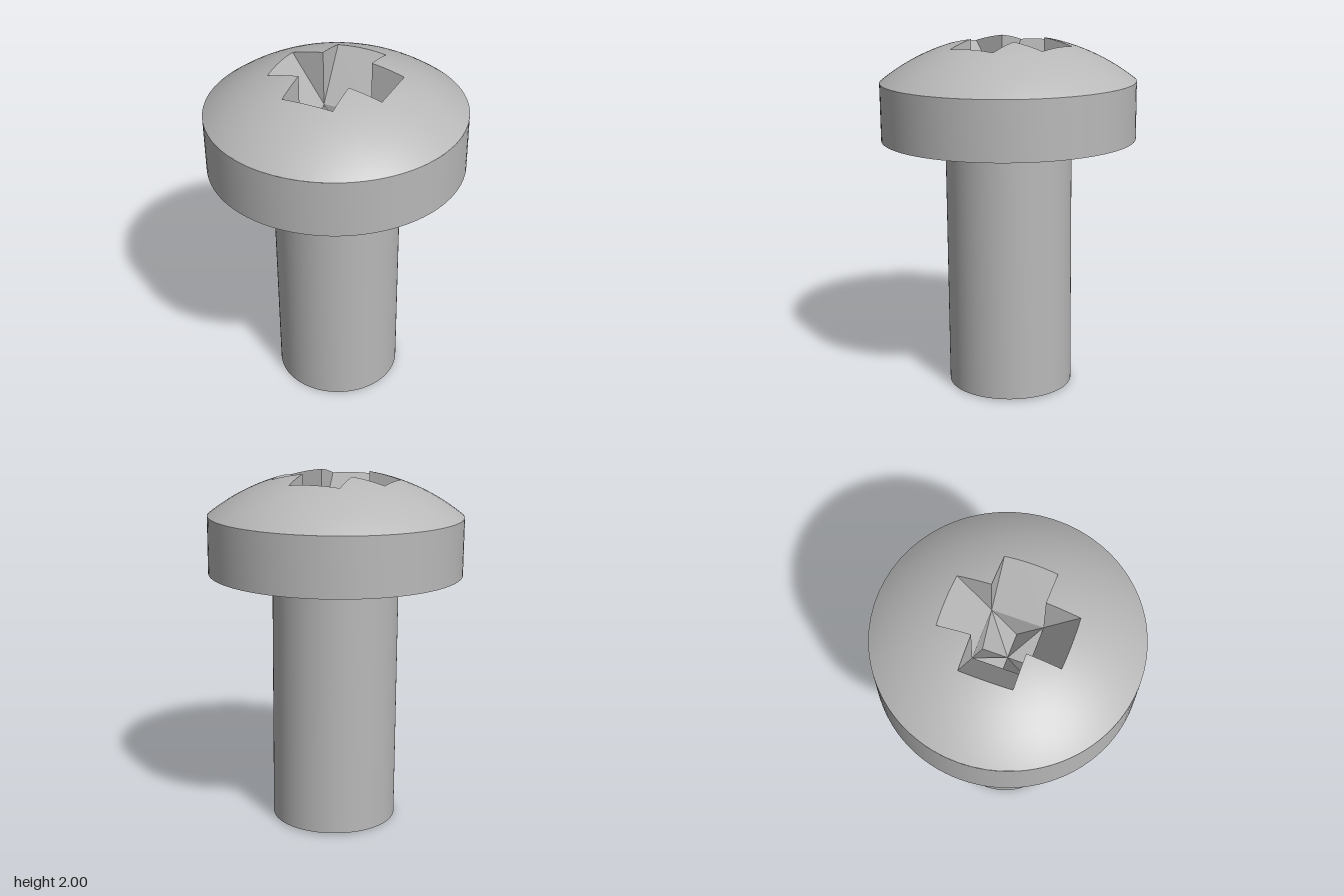
import * as THREE from 'three';
import { toCreasedNormals } from 'three/addons/utils/BufferGeometryUtils.js';

const HEAD_R = 0.715, SHANK_R = 0.356, UNDER = 1.44, RIM = 1.763, APEX = 2.013;
const SAG = APEX - RIM;
const BALL = (HEAD_R * HEAD_R + SAG * SAG) / (2 * SAG); // dome sphere radius
const W = 0.144, END = 0.33, SLOPE = 1.5;               // slot half width, length, floor slope
const domeY = (r) => APEX - BALL + Math.sqrt(BALL * BALL - r * r);
const PIT = domeY(Math.hypot(W, END)) - SLOPE * END;    // lowest point of the recess
const END_ANGLE = Math.atan2(W, END);

// Distance from the axis to the recess outline, for an angle measured from an arm
function outline(a) {
  if (Math.abs(a) > END_ANGLE + 1e-6) return W / Math.abs(Math.sin(a));
  let d = END;
  for (let i = 0; i < 30; i++) d = (domeY(d) - PIT) / (SLOPE * Math.cos(a));
  return d;
}

// Angles across one arm, with the corners hit exactly
function armAngles() {
  const stops = [-Math.PI / 4, -END_ANGLE, END_ANGLE, Math.PI / 4];
  const list = [];
  for (let s = 0; s < 3; s++)
    for (let i = 0; i < 8; i++) list.push(THREE.MathUtils.lerp(stops[s], stops[s + 1], i / 8));
  return list;
}

// Spherical dome stretched between the cross outline and the rim
function domeGeometry() {
  const pos = [], nor = [], index = [], RINGS = 14;
  const rays = [];
  for (let k = 0; k < 4; k++)
    for (const a of armAngles()) rays.push([a + k * Math.PI / 2, outline(a)]);
  const n = rays.length;
  for (let j = 0; j <= RINGS; j++) {
    for (const [a, inner] of rays) {
      const r = THREE.MathUtils.lerp(inner, HEAD_R, j / RINGS);
      const x = r * Math.cos(a), z = -r * Math.sin(a), y = domeY(r);
      pos.push(x, y, z);
      nor.push(x / BALL, (y - APEX + BALL) / BALL, z / BALL);
    }
  }
  for (let j = 0; j < RINGS; j++) {
    for (let i = 0; i < n; i++) {
      const a = j * n + i, b = j * n + (i + 1) % n;
      index.push(a, a + n, b + n, a, b + n, b);
    }
  }
  const g = new THREE.BufferGeometry();
  g.setAttribute('position', new THREE.Float32BufferAttribute(pos, 3));
  g.setAttribute('normal', new THREE.Float32BufferAttribute(nor, 3));
  g.setIndex(index);
  return g;
}

// One arm of the recess: sloping floor, two upright walls and the pit facets
function armGeometry() {
  const pos = [], V = (x, y, z) => new THREE.Vector3(x, y, z);
  const axis = V(0, 2, 0);
  const tri = (a, b, c) => {
    const n = b.clone().sub(a).cross(c.clone().sub(a));
    const order = n.dot(axis.clone().sub(a)) >= 0 ? [a, b, c] : [a, c, b];
    for (const p of order) pos.push(p.x, p.y, p.z);
  };
  const fan = (hub, pts) => { for (let i = 0; i + 1 < pts.length; i++) tri(hub, pts[i], pts[i + 1]); };
  const lip = armAngles().concat(Math.PI / 4).map((a) => {
    const d = outline(a);
    return V(d * Math.cos(a), domeY(d), -d * Math.sin(a));
  });
  const high = PIT + SLOPE * W;
  const left = V(W, high, W), right = V(W, high, -W);
  const mid = V(W, PIT, 0), pit = V(0, PIT, 0);
  fan(left, lip.slice(0, 9));                 // walls
  fan(right, lip.slice(16, 25));
  fan(left, [...lip.slice(8, 17), right]);    // floor
  tri(left, mid, right);                      // step at the pit
  tri(left, mid, pit);                        // pit facets
  tri(right, mid, pit);
  const g = new THREE.BufferGeometry();
  g.setAttribute('position', new THREE.Float32BufferAttribute(pos, 3));
  g.computeVertexNormals();
  return g;
}

export function createModel() {
  const model = new THREE.Group();
  model.name = 'screw';
  const steel = new THREE.MeshStandardMaterial({ name: 'steel grey', color: 0xb8b8b8 });
  const add = (name, geometry, parent) => {
    const mesh = new THREE.Mesh(geometry, steel);
    mesh.name = name;
    parent.add(mesh);
    return mesh;
  };

  // The whole screw leans very slightly
  const body = new THREE.Group();
  body.name = 'body';
  body.position.set(0.0175, 0.005, 0);
  body.rotation.z = 0.0135;
  model.add(body);

  // Plain shank
  const shank = add('shank', new THREE.CylinderGeometry(SHANK_R, SHANK_R, UNDER, 96, 1), body);
  shank.position.y = UNDER / 2;

  // Head: flat underside and straight side
  const profile = [[SHANK_R - 0.01, UNDER], [HEAD_R, UNDER], [HEAD_R, RIM]];
  const side = new THREE.LatheGeometry(profile.map(([x, y]) => new THREE.Vector2(x, y)), 96);
  add('headSide', toCreasedNormals(side, 0.6), body);

  // Domed top with the cross recess, turned together
  const top = new THREE.Group();
  top.name = 'headTop';
  top.rotation.y = 0.249;
  body.add(top);
  add('dome', domeGeometry(), top);
  const arm = armGeometry();
  for (let k = 0; k < 4; k++) add('recessArm', arm, top).rotation.y = k * Math.PI / 2;

  return model;
}
